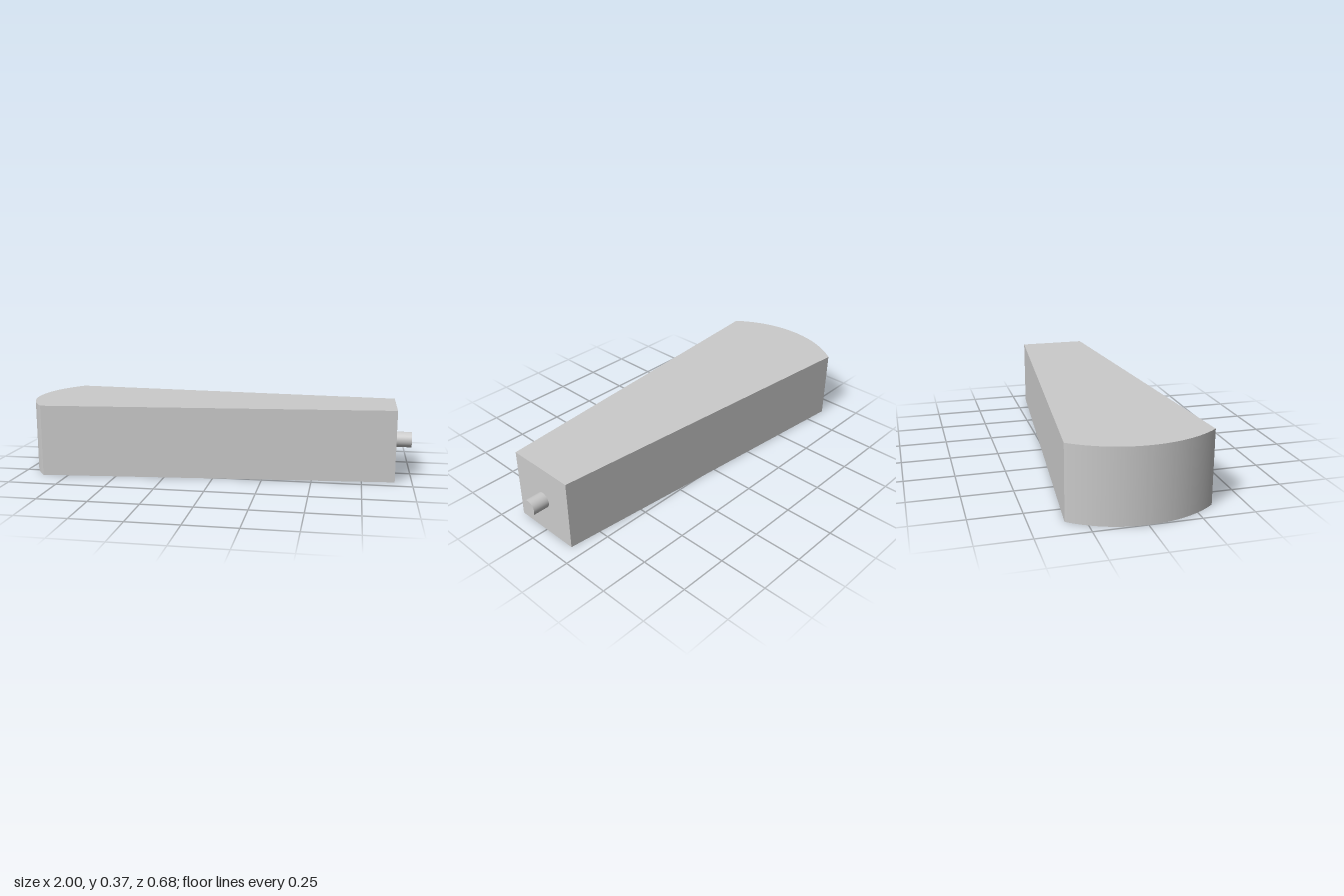
import * as THREE from 'three';
import { toCreasedNormals } from 'three/addons/utils/BufferGeometryUtils.js';

const H = 0.365;                         // body height
const END_X = 0.915, END_HALF = 0.182;   // narrow end
const PIVOT_X = -0.455, ARC_R = 0.545, ARC_HALF = 0.679; // round end, centred on the pivot hole
const HOLE_R = 0.06, HOLE_DEPTH = 0.18;
const PIN_R = 0.04;

const grey = new THREE.MeshStandardMaterial({ color: 0xcccccc });
const greyDouble = new THREE.MeshStandardMaterial({ color: 0xcccccc, side: THREE.DoubleSide });

// Tapered plan with a rounded wide end
function outline() {
  const s = new THREE.Shape();
  s.moveTo(END_X, -END_HALF);
  s.lineTo(END_X, END_HALF);
  s.absarc(PIVOT_X, 0, ARC_R, Math.PI - ARC_HALF, Math.PI + ARC_HALF, false);
  s.closePath();
  return s;
}

// Upright wall around a counter-clockwise outline
function wallGeometry(shape, height) {
  const pts = shape.getPoints(40);
  const pos = [];
  for (let i = 0; i < pts.length; i++) {
    const a = pts[i], b = pts[(i + 1) % pts.length];
    if (a.distanceTo(b) < 1e-6) continue;
    pos.push(a.x, a.y, 0, b.x, b.y, 0, b.x, b.y, height);
    pos.push(a.x, a.y, 0, b.x, b.y, height, a.x, a.y, height);
  }
  const g = new THREE.BufferGeometry();
  g.setAttribute('position', new THREE.Float32BufferAttribute(pos, 3));
  return toCreasedNormals(g.rotateX(-Math.PI / 2), 0.5);
}

export function createModel() {
  const model = new THREE.Group();
  model.name = 'taperedArm';
  const add = (name, geometry, material = grey) => {
    const mesh = new THREE.Mesh(geometry, material);
    mesh.name = name;
    model.add(mesh);
    return mesh;
  };

  // Body: side wall, closed top, underside pierced by the pivot hole
  add('bodyWall', wallGeometry(outline(), H));
  add('bodyTop', new THREE.ShapeGeometry(outline(), 40).rotateX(-Math.PI / 2)).position.y = H;
  const pierced = outline();
  const hole = new THREE.Path();
  hole.absarc(PIVOT_X, 0, HOLE_R, 0, Math.PI * 2, true);
  pierced.holes.push(hole);
  add('bodyUnderside', new THREE.ShapeGeometry(pierced, 40).rotateX(Math.PI / 2));

  // Blind pivot hole
  add('pivotHoleWall', new THREE.CylinderGeometry(HOLE_R, HOLE_R, HOLE_DEPTH, 40, 1, true), greyDouble)
    .position.set(PIVOT_X, HOLE_DEPTH / 2, 0);
  add('pivotHoleEnd', new THREE.CircleGeometry(HOLE_R, 40).rotateX(Math.PI / 2))
    .position.set(PIVOT_X, HOLE_DEPTH, 0);

  // Pin on the narrow end
  const pinLength = 1 - END_X;
  add('endPin', new THREE.CylinderGeometry(PIN_R, PIN_R, pinLength, 40).rotateZ(-Math.PI / 2))
    .position.set(END_X + pinLength / 2, H / 2, 0);

  return model;
}
